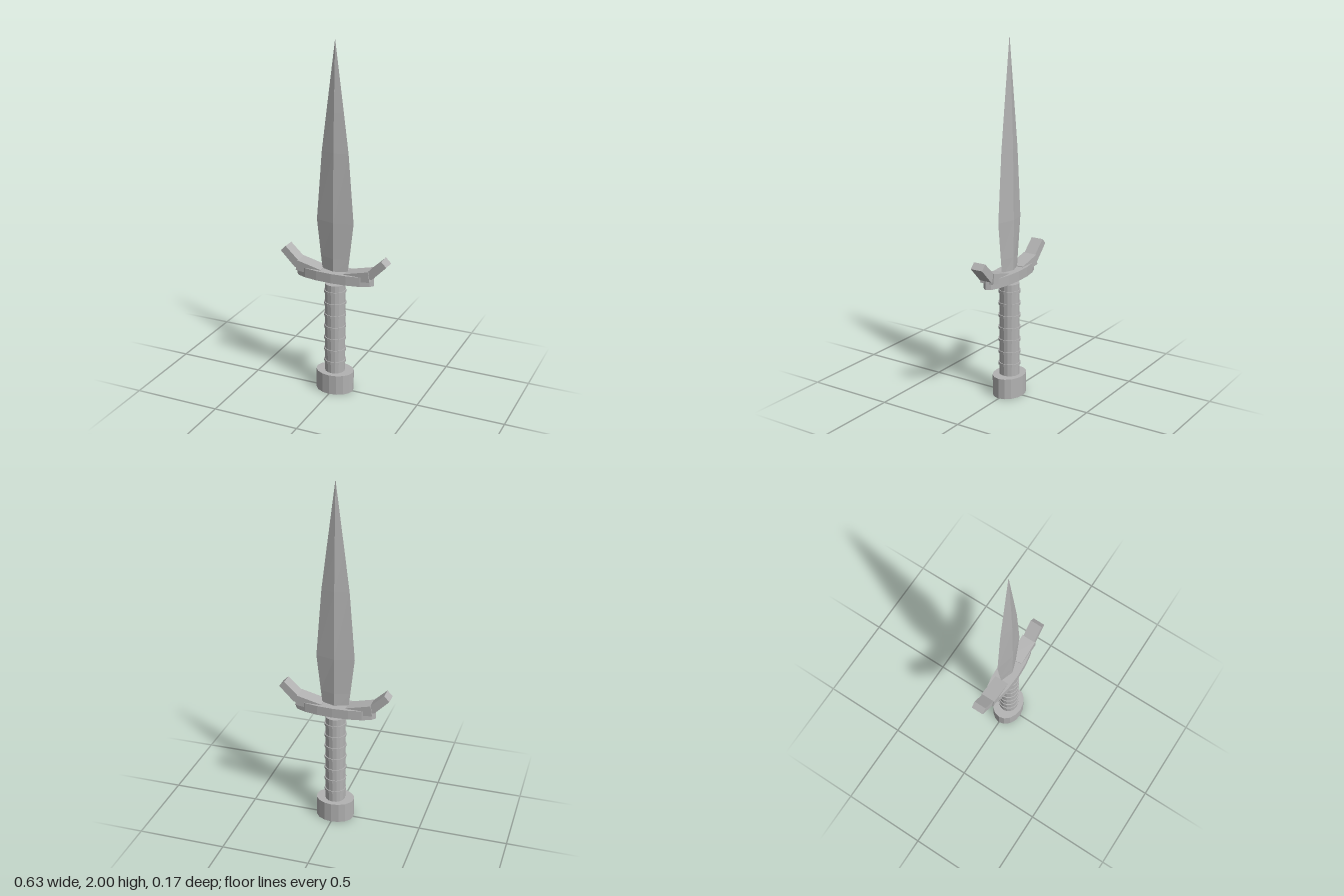
import * as THREE from 'three';

const steel = new THREE.MeshStandardMaterial({ color: 0xb2b2b2, flatShading: true });
steel.name = 'grey steel';

function add(parent, name, geometry) {
  const mesh = new THREE.Mesh(geometry, steel);
  mesh.name = name;
  parent.add(mesh);
  return mesh;
}

// Upright 16-sided oval prism between two heights
function ovalPrism(rx, rz, y0, y1) {
  return new THREE.CylinderGeometry(1, 1, y1 - y0, 16)
    .scale(rx, 1, rz)
    .translate(0, (y0 + y1) / 2, 0);
}

// Side outline in x/y, extruded evenly about z = 0
function slab(points, halfDepth) {
  const shape = new THREE.Shape(points.map(([x, y]) => new THREE.Vector2(x, y)));
  return new THREE.ExtrudeGeometry(shape, { depth: halfDepth * 2, bevelEnabled: false })
    .translate(0, 0, -halfDepth);
}

// Diamond cross-sections [y, half width, half thickness] joined into a blade
function bladeGeometry(sections) {
  const positions = [];
  const index = [];
  for (const [y, w, d] of sections) {
    positions.push(w, y, 0, 0, y, d, -w, y, 0, 0, y, -d);
  }
  for (let s = 0; s < sections.length - 1; s++) {
    for (let k = 0; k < 4; k++) {
      const a = s * 4 + k;
      const b = s * 4 + (k + 1) % 4;
      index.push(a, a + 4, b, b, a + 4, b + 4);
    }
  }
  index.push(0, 1, 2, 0, 2, 3);
  const geometry = new THREE.BufferGeometry();
  geometry.setAttribute('position', new THREE.Float32BufferAttribute(positions, 3));
  geometry.setIndex(index);
  geometry.computeVertexNormals();
  return geometry;
}

export function createModel() {
  const dagger = new THREE.Group();
  dagger.name = 'dagger';

  // Handle
  add(dagger, 'pommel', ovalPrism(0.11, 0.087, 0, 0.117));
  add(dagger, 'grip', ovalPrism(0.057, 0.057, 0.1, 0.652));
  for (let i = 0; i < 7; i++) {
    const y = 0.18 + i * 0.071;
    add(dagger, 'gripRing', ovalPrism(0.062, 0.062, y - 0.008, y + 0.008));
  }

  // Guard: oval plate with an upswept prong on each side
  add(dagger, 'guardPlate', ovalPrism(0.232, 0.063, 0.672, 0.727));
  for (const side of [1, -1]) {
    const prong = new THREE.Group();
    prong.name = side > 0 ? 'leftProng' : 'rightProng';
    if (side < 0) prong.rotation.y = Math.PI;
    add(prong, 'prongRoot', slab([[0.07, 0.69], [0.222, 0.705], [0.212, 0.765], [0.07, 0.73]], 0.042));
    add(prong, 'prongTip', slab([[0.2, 0.715], [0.233, 0.722], [0.316, 0.806], [0.286, 0.836], [0.208, 0.763]], 0.036));
    dagger.add(prong);
  }

  // Leaf-shaped blade
  add(dagger, 'blade', bladeGeometry([
    [0.7, 0.073, 0.026],
    [0.8, 0.085, 0.027],
    [1.01, 0.109, 0.028],
    [1.4, 0.078, 0.023],
    [1.62, 0.05, 0.016],
    [2, 0.0005, 0.0005],
  ]));

  return dagger;
}
